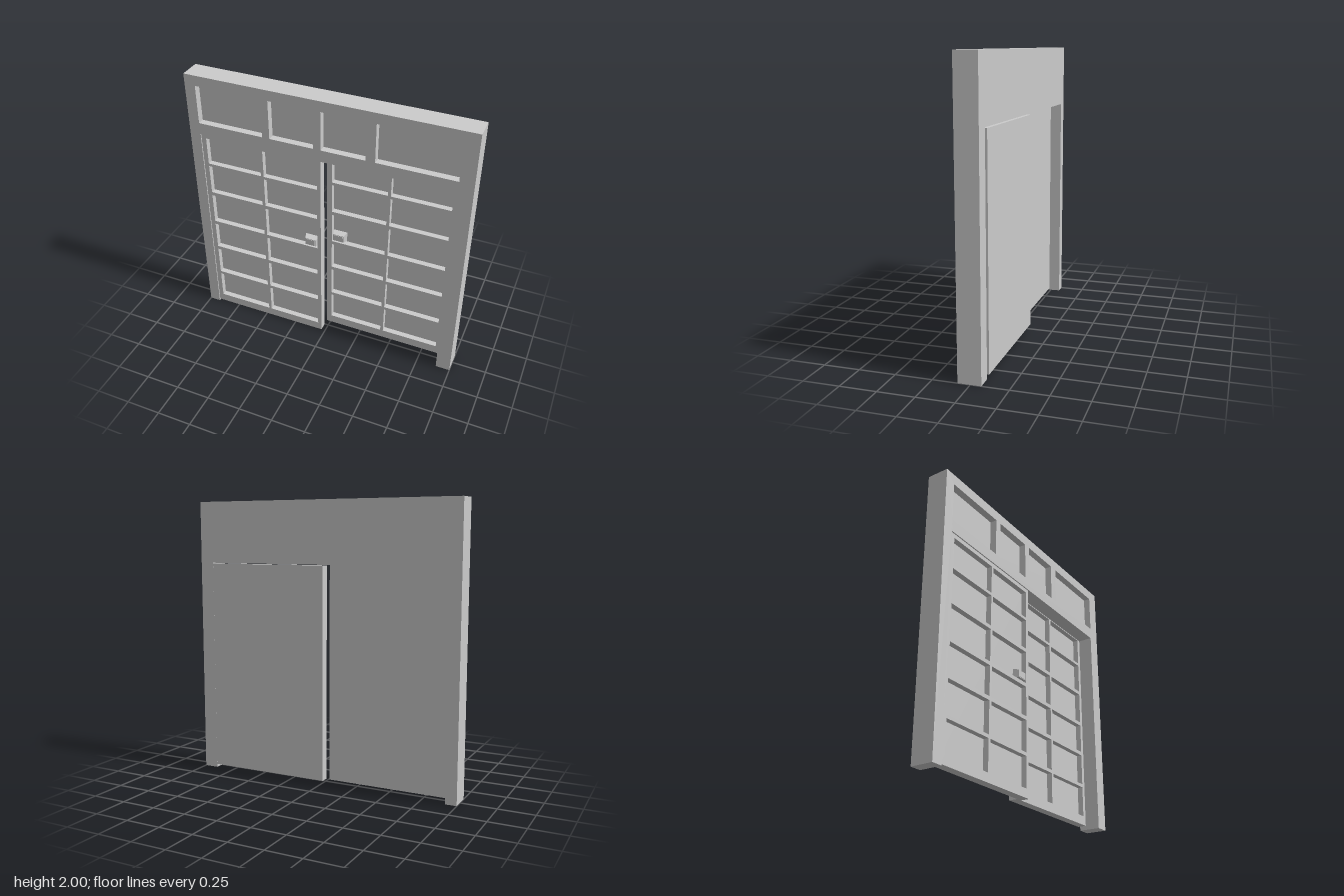
import * as THREE from 'three';

const material = new THREE.MeshStandardMaterial({ color: 0xcccccc, flatShading: true });

// Flat slab from an outline of [x, y] points, with rectangular holes [x0, x1, y0, y1]
function slab(outline, holes, z0, z1) {
  const toPoints = (pts) => pts.map(([x, y]) => new THREE.Vector2(x, y));
  const shape = new THREE.Shape(toPoints(outline));
  for (const [x0, x1, y0, y1] of holes) {
    shape.holes.push(new THREE.Path(toPoints([[x0, y0], [x0, y1], [x1, y1], [x1, y0]])));
  }
  const geometry = new THREE.ExtrudeGeometry(shape, { depth: z1 - z0, bevelEnabled: false });
  geometry.translate(0, 0, z0);
  return new THREE.Mesh(geometry, material);
}

// Solid back sheet plus a pierced front sheet, giving recessed panels
function panelled(name, outline, holes, back, floor, front) {
  const group = new THREE.Group();
  group.name = name;
  const backing = slab(outline, [], back, floor);
  backing.name = name + 'Backing';
  const grid = slab(outline, holes, floor, front);
  grid.name = name + 'Rails';
  group.add(backing, grid);
  return group;
}

// Tapered block handle with a small raised face
function makeHandle(width, height, depth) {
  const handle = new THREE.Group();
  handle.name = 'handle';
  const geometry = new THREE.BoxGeometry(width, height, depth);
  const p = geometry.attributes.position;
  for (let i = 0; i < p.count; i++) {
    if (p.getZ(i) > 0) p.setXY(i, p.getX(i) * 0.76, p.getY(i) * 0.7);
  }
  geometry.translate(0, 0, depth / 2);
  const body = new THREE.Mesh(geometry, material);
  body.name = 'handleBody';
  const face = new THREE.Mesh(new THREE.BoxGeometry(width * 0.66, height * 0.58, 0.004), material);
  face.name = 'handleFace';
  face.position.z = depth + 0.001;
  handle.add(body, face);
  return handle;
}

// Panel rows, bottom and top of each
const rows = [
  [0.075, 0.294], [0.318, 0.545], [0.572, 0.786],
  [0.813, 1.048], [1.075, 1.3], [1.321, 1.527],
];

function makeDoor(name, x0, x1, y0, y1, columns, lift, back, handleX) {
  const holes = [];
  for (const [a, b] of columns) {
    for (const [c, d] of rows) holes.push([a, b, c + lift, d + lift]);
  }
  const outline = [[x0, y0], [x1, y0], [x1, y1], [x0, y1]];
  const floor = back + 0.023;
  const door = panelled(name, outline, holes, back, floor, back + 0.063);
  const handle = makeHandle(0.104, 0.076, 0.042);
  handle.position.set(handleX, 0.854 + lift, floor);
  door.add(handle);
  return door;
}

export function createModel() {
  const model = new THREE.Group();
  model.name = 'slidingDoors';

  // Surround with four recessed panels above the opening
  const surround = [
    [-1, 0], [-0.92, 0], [-0.92, 1.557], [0.897, 1.557],
    [0.897, 0], [1, 0], [1, 2], [-1, 2],
  ];
  const transoms = [[-0.922, -0.441], [-0.388, -0.072], [-0.019, 0.291], [0.356, 0.901]]
    .map(([a, b]) => [a, b, 1.644, 1.925]);
  model.add(panelled('frame', surround, transoms, -0.072, 0.033, 0.083));

  // Front sliding door, and the rear one on the other track
  model.add(makeDoor('rightDoor', -0.92, -0.025, 0.012, 1.557,
    [[-0.885, -0.473], [-0.452, -0.052]], 0, 0.012, -0.105));
  model.add(makeDoor('leftDoor', -0.018, 0.889, 0.028, 1.552,
    [[0.019, 0.42], [0.441, 0.858]], 0.019, -0.083, 0.07));

  return model;
}
